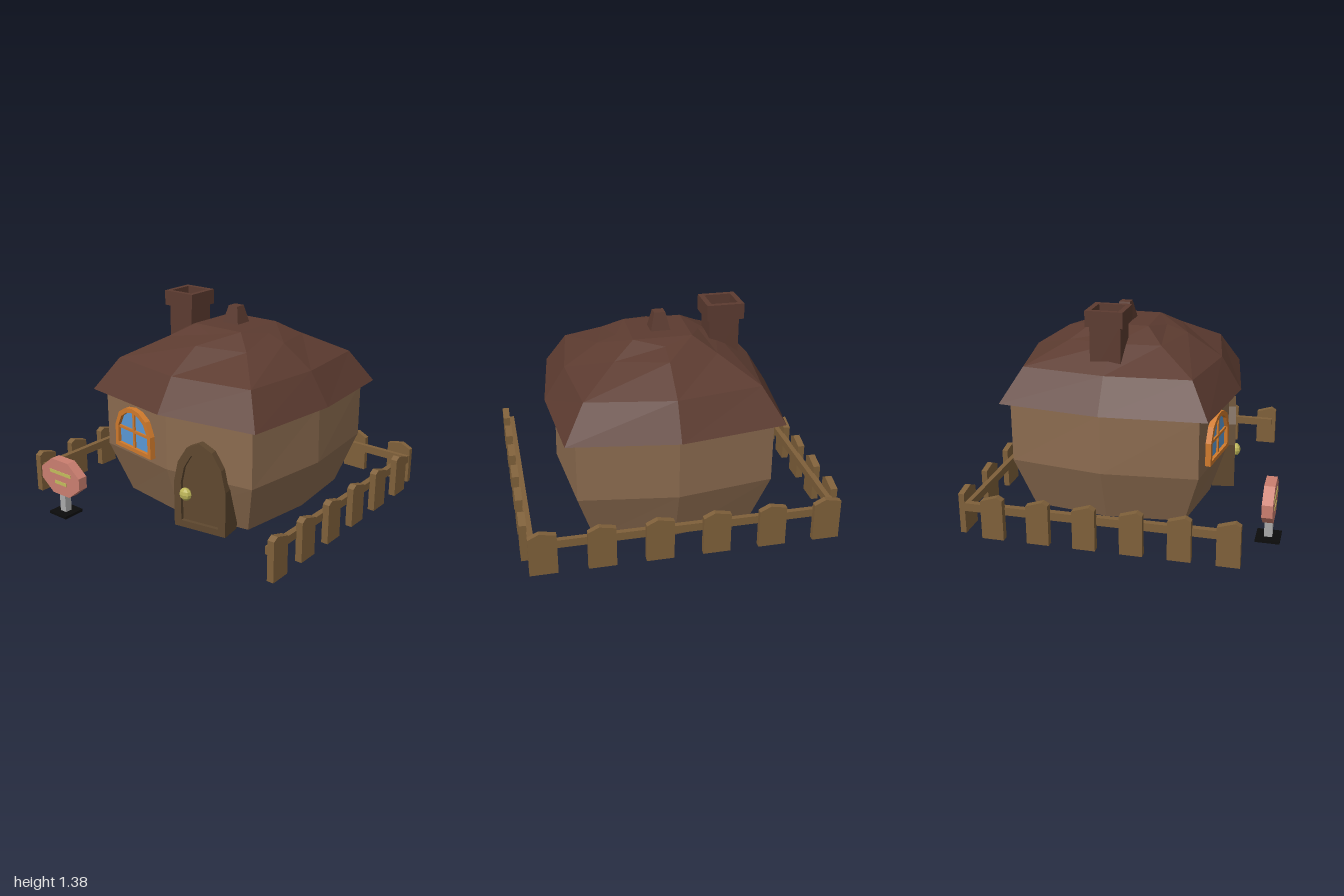
import * as THREE from 'three';

const paint = (color) => new THREE.MeshStandardMaterial({ color, flatShading: true });
const wallMat = paint(0x8b6b4f), roofMat = paint(0x5c3b30), woodMat = paint(0x7f603a);
const doorMat = paint(0x5f482f), trimMat = paint(0xd07a2c), glassMat = paint(0x5b9ad6);
const knobMat = paint(0xbdb558), signMat = paint(0xcb7f70), postMat = paint(0xaaaaaa);
const blackMat = paint(0x0c0c0c), barMat = paint(0xc4bd5c);

function add(parent, name, geometry, material, x = 0, y = 0, z = 0) {
  const mesh = new THREE.Mesh(geometry, material);
  mesh.name = name;
  mesh.position.set(x, y, z);
  parent.add(mesh);
  return mesh;
}

// Box given by its lower and upper corner
function block(parent, name, material, [x0, y0, z0], [x1, y1, z1]) {
  return add(parent, name, new THREE.BoxGeometry(x1 - x0, y1 - y0, z1 - z0), material,
    (x0 + x1) / 2, (y0 + y1) / 2, (z0 + z1) / 2);
}

// Stack of eight-sided rings: [y, corner x, corner z, mid x, mid z, optional mid y]
function loft(rings, cx, cz, bottomY, topY) {
  const pos = [], index = [];
  const put = (x, y, z) => pos.push(cx + x - 0.026 * z, y, cz + z);
  for (const [y, ax, az, mx, mz, my = y] of rings) {
    for (let i = 0; i < 8; i++) {
      const a = i * Math.PI / 4, sx = Math.sign(Math.round(Math.sin(a) * 2)), sz = Math.sign(Math.round(Math.cos(a) * 2));
      if (i % 2) put(sx * ax, y, sz * az);
      else put(sx * mx, my, sz * mz);
    }
  }
  put(0, bottomY, 0);
  put(0, topY, 0);
  const n = rings.length, low = n * 8, high = low + 1;
  for (let i = 0; i < 8; i++) {
    const j = (i + 1) % 8;
    for (let r = 0; r < n - 1; r++) {
      const a = r * 8 + i, b = r * 8 + j;
      index.push(a, b, b + 8, a, b + 8, a + 8);
    }
    index.push(j, i, low, (n - 1) * 8 + i, (n - 1) * 8 + j, high);
  }
  const g = new THREE.BufferGeometry();
  g.setAttribute('position', new THREE.Float32BufferAttribute(pos, 3));
  g.setIndex(index);
  g.computeVertexNormals();
  return g;
}

// Closed outline from its right half, bottom to crown
function archPoints(half) {
  const left = half.slice().reverse().filter(([x]) => x > 0).map(([x, y]) => [-x, y]);
  return [...half, ...left].map(([x, y]) => new THREE.Vector2(x, y));
}

function extrude(points, z0, z1, hole) {
  const shape = new THREE.Shape(points);
  if (hole) shape.holes.push(new THREE.Path(hole));
  return new THREE.ExtrudeGeometry(shape, { depth: z1 - z0, bevelEnabled: false }).translate(0, 0, z0);
}

function makeDoor() {
  const door = new THREE.Group();
  door.name = 'door';
  const outer = archPoints([[0.185, 0.045], [0.185, 0.35], [0.155, 0.49], [0.09, 0.595], [0, 0.64]]);
  const inner = archPoints([[0.135, 0.09], [0.135, 0.35], [0.11, 0.46], [0.06, 0.545], [0, 0.575]]);
  add(door, 'doorFrame', extrude(outer, -0.1, 0.05, inner), doorMat);
  add(door, 'doorPanel', extrude(inner, -0.1, 0.025), doorMat);
  const knob = add(door, 'doorKnob', new THREE.SphereGeometry(0.043, 8, 6), knobMat, -0.095, 0.285, 0.06);
  knob.scale.z = 0.7;
  door.position.set(0.27, 0, 0.5);
  door.rotation.y = 0.155;
  return door;
}

function makeWindow() {
  const win = new THREE.Group();
  win.name = 'window';
  const outer = archPoints([[0.185, 0.43], [0.183, 0.58], [0.14, 0.675], [0.07, 0.718], [0, 0.73]]);
  const inner = archPoints([[0.155, 0.457], [0.153, 0.575], [0.115, 0.65], [0.06, 0.688], [0, 0.7]]);
  add(win, 'windowFrame', extrude(outer, -0.04, 0.03, inner), trimMat);
  add(win, 'windowGlass', extrude(inner, -0.04, 0.008), glassMat);
  block(win, 'verticalBar', trimMat, [-0.009, 0.45, 0], [0.009, 0.705, 0.02]);
  block(win, 'crossBar', trimMat, [-0.158, 0.56, 0], [0.158, 0.578, 0.02]);
  win.position.set(-0.295, 0, 0.503);
  win.rotation.y = -0.155;
  return win;
}

function makeChimney() {
  const chimney = new THREE.Group();
  chimney.name = 'chimney';
  block(chimney, 'chimneyShaft', roofMat, [-0.48, 0.95, -0.26], [-0.29, 1.29, -0.065]);
  const square = (h) => [[-h, -h], [h, -h], [h, h], [-h, h]].map(([x, y]) => new THREE.Vector2(x, y));
  const cap = add(chimney, 'chimneyCap', extrude(square(0.119), 0, 0.1, square(0.085)), roofMat, -0.387, 1.28, -0.162);
  cap.rotation.x = -Math.PI / 2;
  return chimney;
}

// Fence board with an uneven pointed top
function picket(width, peak, depth) {
  const p = [[0, 0.045], [width, 0.045], [width, 0.292], [width * peak, 0.325], [0, 0.305]];
  return extrude(p.map(([x, y]) => new THREE.Vector2(x, y)), 0, depth);
}

function makeFence() {
  const fence = new THREE.Group();
  fence.name = 'fence';
  const sidePicket = picket(0.14, 0.25, 0.045), backPicket = picket(0.17, 0.6, 0.037);
  for (let i = 0; i < 6; i++) {
    for (const x of [-1, 0.955]) {
      add(fence, 'sidePicket', sidePicket, woodMat, x, 0, 0.77 - i * 0.288).rotation.y = Math.PI / 2;
    }
    add(fence, 'backPicket', backPicket, woodMat, -0.957 + i * 0.35, 0, -0.97);
  }
  for (const s of [-1, 1]) {
    const x = s * 0.94;
    block(fence, 'sideRail', woodMat, [x - 0.019, 0.195, -0.934], [x + 0.019, 0.247, 0.745]);
  }
  block(fence, 'backRail', woodMat, [-0.957, 0.195, -0.936], [0.957, 0.247, -0.903]);
  return fence;
}

function makeSign() {
  const sign = new THREE.Group();
  sign.name = 'sign';
  block(sign, 'signBase', blackMat, [-0.075, 0.042, -0.075], [0.075, 0.06, 0.075]);
  block(sign, 'signPost', postMat, [-0.025, 0.05, -0.025], [0.025, 0.2, 0.025]);
  const corners = [[0.175, -0.04], [0.175, 0.04], [0.075, 0.12], [-0.075, 0.12],
    [-0.175, 0.04], [-0.175, -0.04], [-0.075, -0.12], [0.075, -0.12]];
  const board = corners.map(([x, y]) => new THREE.Vector2(x, y));
  add(sign, 'signBoard', extrude(board, -0.033, 0.033), signMat, 0, 0.3, 0);
  block(sign, 'upperStripe', barMat, [-0.095, 0.322, 0.03], [0.1, 0.345, 0.036]);
  block(sign, 'lowerStripe', barMat, [-0.05, 0.252, 0.03], [0.055, 0.275, 0.036]);
  sign.position.set(-0.583, 0, 0.888);
  return sign;
}

export function createModel() {
  const model = new THREE.Group();
  model.name = 'cottage';

  // Rounded walls with a shallow pointed underside
  add(model, 'walls', loft([
    [0.045, 0.15, 0.15, 0.21, 0.21],
    [0.045, 0.5, 0.5, 0.56, 0.58],
    [0.39, 0.605, 0.605, 0.677, 0.695],
    [0.775, 0.605, 0.605, 0.67, 0.695],
  ], 0.02, -0.155, 0.0, 0.775), wallMat);

  // Domed roof with overhanging eaves
  add(model, 'roof', loft([
    [0.768, 0.59, 0.59, 0.655, 0.68],
    [0.785, 0.668, 0.663, 0.733, 0.767],
    [1.0, 0.54, 0.54, 0.598, 0.635],
    [1.135, 0.32, 0.3, 0.385, 0.405, 1.145],
    [1.22, 0.185, 0.185, 0.265, 0.265, 1.19],
    [1.22, 0.185, 0.185, 0.185, 0.185],
  ], 0.022, -0.15, 0.768, 1.22), roofMat);

  // Roof knob
  const finial = add(model, 'finial', new THREE.CylinderGeometry(0.05, 0.09, 0.12, 4), roofMat, 0.015, 1.272, -0.16);
  finial.rotation.y = Math.PI / 4;

  model.add(makeChimney(), makeDoor(), makeWindow(), makeFence(), makeSign());
  return model;
}
